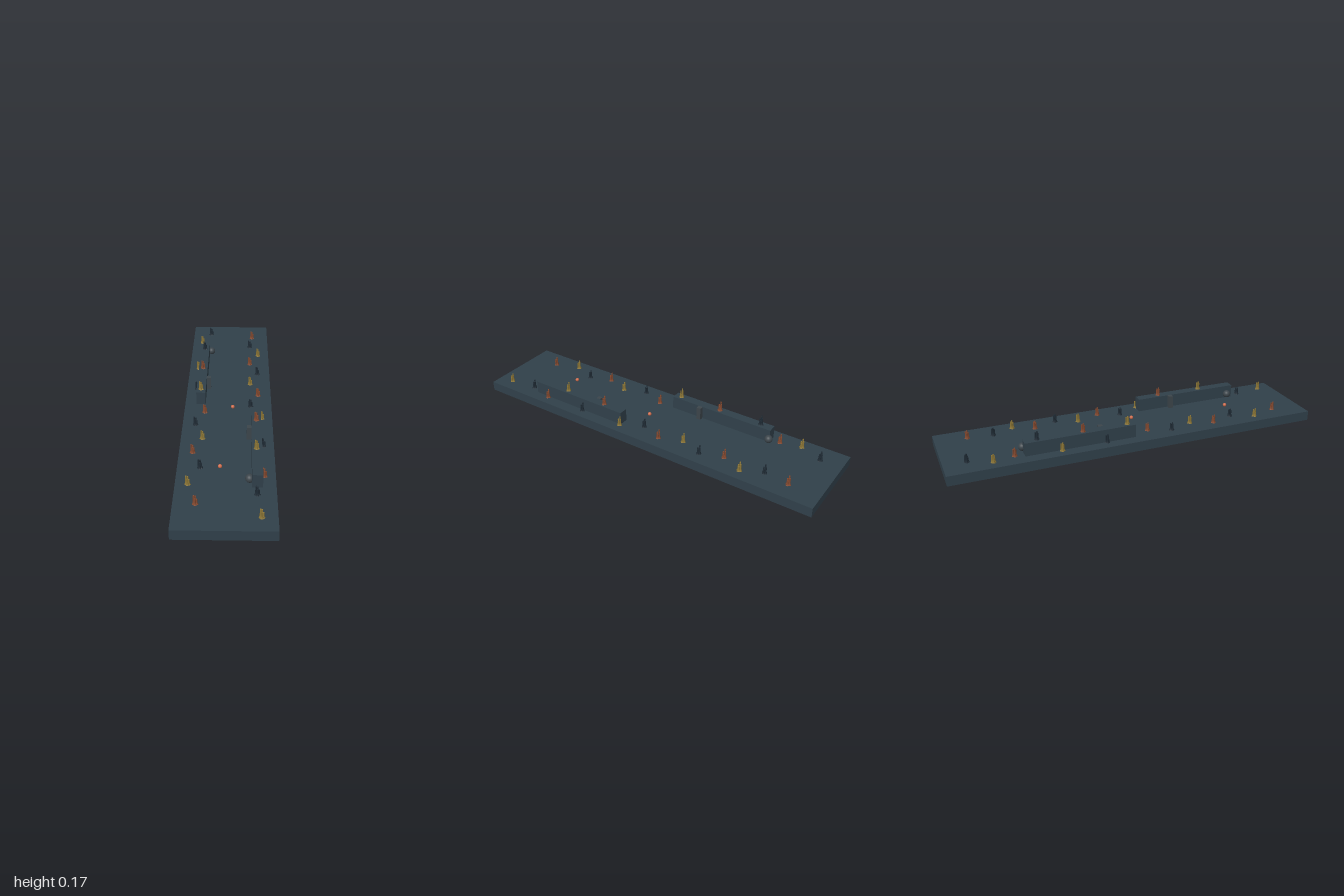
import * as THREE from 'three';

const mat = (color, extra = {}) => new THREE.MeshStandardMaterial({ color, ...extra });

export function createModel() {
  const model = new THREE.Group();
  const stone = mat(0x30404a);
  const pillarStone = mat(0x3c454b);
  const pearl = mat(0xcc6b4c);
  const coralMats = [0x1f2b35, 0x8c7636, 0x84492f].map((c) => mat(c, { side: THREE.DoubleSide }));

  function add(name, geometry, material, x, y, z, parent = model) {
    const mesh = new THREE.Mesh(geometry, material);
    mesh.name = name;
    mesh.position.set(x, y, z);
    parent.add(mesh);
    return mesh;
  }

  const floorY = 0.052, wallTop = 0.122, wallH = wallTop - floorY;

  // Slab
  add('floorSlab', new THREE.BoxGeometry(0.466, floorY, 2), stone, 0, floorY / 2, 0);

  // Two long walls, each with a small pillar and a boulder on its inner side
  const sides = [
    { name: 'left', x: 0.146, z: 0.413, pillar: [0.11, 0.307], ball: [0.11, 0.67] },
    { name: 'right', x: -0.148, z: -0.313, pillar: [-0.112, -0.195], ball: [-0.112, -0.605] },
  ];
  for (const s of sides) {
    add(s.name + 'Wall', new THREE.BoxGeometry(0.05, wallH, 0.585), stone, s.x, floorY + wallH / 2, s.z);
    add(s.name + 'Pillar', new THREE.BoxGeometry(0.024, wallH, 0.024), pillarStone,
      s.pillar[0], floorY + wallH / 2, s.pillar[1]);
    add(s.name + 'Boulder', new THREE.SphereGeometry(0.021, 20, 14), pillarStone, s.ball[0], 0.078, s.ball[1]);
  }

  // Floating pearls
  add('frontPearl', new THREE.SphereGeometry(0.01, 16, 12), pearl, -0.028, 0.078, 0.58);
  add('middlePearl', new THREE.SphereGeometry(0.01, 16, 12), pearl, 0.025, 0.07, 0.035);

  // Coral stalk: flared foot, slim tube, blunt tip (unit height)
  const stalk = new THREE.LatheGeometry([
    [0.0085, 0], [0.0055, 0.15], [0.004, 0.4], [0.0038, 0.96], [0.003, 1], [0, 1],
  ].map(([r, y]) => new THREE.Vector2(r, y)), 8);

  // Offsets and height of each stalk in a cluster
  const stalks = [
    [-0.005, 0.001, 0.048], [0.002, -0.005, 0.04], [0.008, 0.002, 0.029], [0.001, 0.007, 0.035],
  ];

  function coral(x, z, kind, y) {
    const cluster = new THREE.Group();
    cluster.name = 'coralCluster';
    cluster.position.set(x, y, z);
    for (const [dx, dz, h] of stalks) {
      add('coralStalk', stalk, coralMats[kind], dx, 0, dz, cluster).scale.y = h;
    }
    model.add(cluster);
  }

  // Rows of coral from back to front: [x, z]; a third entry marks those on a wall
  const rightRow = [
    [-0.125, -0.885], [-0.175, -0.765], [-0.15, -0.655], [-0.15, -0.54, 1], [-0.182, -0.42],
    [-0.15, -0.3, 1], [-0.177, -0.18], [-0.15, -0.06, 1], [-0.124, 0.065], [-0.167, 0.187],
    [-0.125, 0.313], [-0.167, 0.435], [-0.125, 0.558], [-0.175, 0.685], [-0.132, 0.825],
  ];
  const leftRow = [
    [0.135, -0.835], [0.119, -0.703], [0.169, -0.592], [0.119, -0.48], [0.161, -0.358],
    [0.119, -0.24], [0.161, -0.115], [0.119, 0.003], [0.177, 0.123], [0.145, 0.245, 1],
    [0.178, 0.375], [0.143, 0.495, 1], [0.178, 0.62], [0.143, 0.755], [0.16, 0.91],
  ];
  rightRow.forEach(([x, z, up], i) => coral(x, z, i % 3, up ? wallTop : floorY));
  // Colours run orange, dark, yellow on this side
  leftRow.forEach(([x, z, up], i) => coral(x, z, (i + 2) % 3, up ? wallTop : floorY));

  return model;
}
